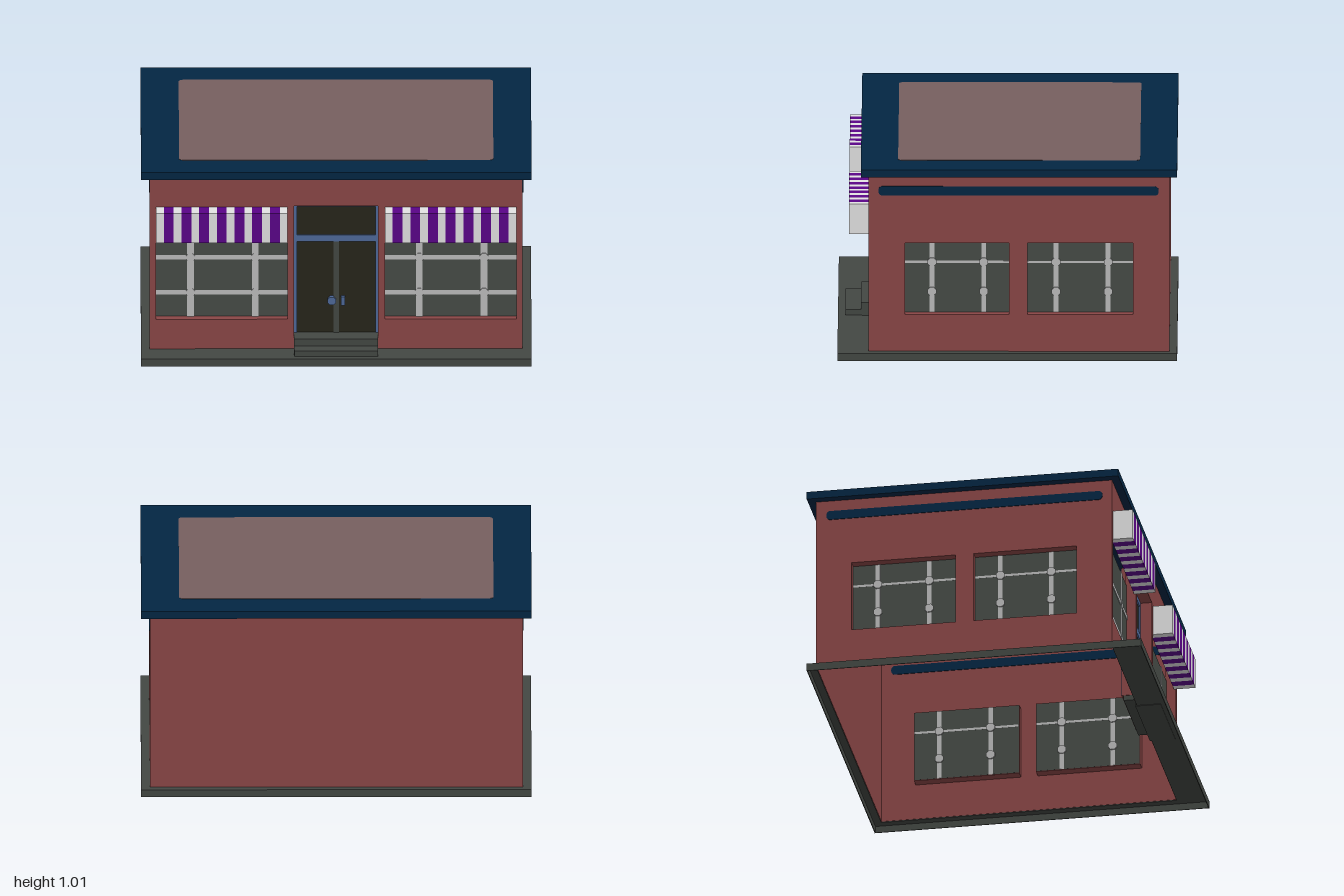
import * as THREE from 'three';

const mat = (name, color) => {
  const m = new THREE.MeshStandardMaterial({ color });
  m.name = name;
  return m;
};

export function createModel() {
  const M = {
    wall: mat('brick red', 0x8a4646),
    roof: mat('navy', 0x032643),
    panel: mat('roof panel brown', 0x775f5f),
    stone: mat('dark stone', 0x434743),
    glass: mat('window glass', 0x464b46),
    bar: mat('window bar grey', 0xbcbcbc),
    white: mat('awning white', 0xe2e2e2),
    purple: mat('awning purple', 0x5a0488),
    frame: mat('door frame blue', 0x4d6898),
    doorGlass: mat('door glass', 0x27251a),
  };
  const model = new THREE.Group();
  model.name = 'shop';

  const add = (parent, name, geo, material) => {
    const mesh = new THREE.Mesh(geo, material);
    mesh.name = name;
    parent.add(mesh);
    return mesh;
  };
  // Box given by its lower and upper limits on each axis
  const box = (parent, name, material, x0, x1, y0, y1, z0, z1) => {
    const mesh = add(parent, name, new THREE.BoxGeometry(x1 - x0, y1 - y0, z1 - z0), material);
    mesh.position.set((x0 + x1) / 2, (y0 + y1) / 2, (z0 + z1) / 2);
    return mesh;
  };
  const rectPath = (path, [x0, x1, y0, y1]) => {
    path.moveTo(x0, y0);
    path.lineTo(x1, y0);
    path.lineTo(x1, y1);
    path.lineTo(x0, y1);
    path.closePath();
    return path;
  };
  // Rectangular slab with rectangular holes, extruded along +z
  const slab = (rect, holes, depth) => {
    const shape = rectPath(new THREE.Shape(), rect);
    holes.forEach((h) => shape.holes.push(rectPath(new THREE.Path(), h)));
    return new THREE.ExtrudeGeometry(shape, { depth, bevelEnabled: false });
  };
  const roundedShape = (x0, x1, y0, y1, r) => {
    const s = new THREE.Shape();
    s.absarc(x1 - r, y0 + r, r, -Math.PI / 2, 0);
    s.absarc(x1 - r, y1 - r, r, 0, Math.PI / 2);
    s.absarc(x0 + r, y1 - r, r, Math.PI / 2, Math.PI);
    s.absarc(x0 + r, y0 + r, r, Math.PI, Math.PI * 1.5);
    s.closePath();
    return s;
  };
  // Thin wall skin, with a recess lining running inward from every opening
  const addWall = (parent, name, rect, openings, face) => {
    add(parent, name, slab(rect, openings.map((o) => o.rect), 0.004), M.wall).position.z = face - 0.004;
    openings.forEach(({ rect: [x0, x1, y0, y1], depth }) => {
      const t = 0.003;
      const lining = slab([x0 - t, x1 + t, y0 - t, y1 + t], [[x0, x1, y0, y1]], depth);
      add(parent, 'recessLining', lining, M.wall).position.z = face - depth - 0.001;
    });
  };
  // Glass pane with crossing bars and a boss at every crossing
  const addWindow = (parent, [x0, x1, y0, y1], z, xs, bars, bosses, barW, barH, proud) => {
    const g = new THREE.Group();
    g.name = 'window';
    const d = 0.004 + proud;
    box(g, 'glass', M.glass, x0, x1, y0, y1, z - 0.004, z + 0.004);
    xs.forEach((x) => {
      box(g, 'uprightBar', M.bar, x - barW / 2, x + barW / 2, y0, y1, z - d, z + d);
      bosses.forEach((y) => {
        const boss = add(g, 'barBoss', new THREE.CylinderGeometry(0.024, 0.024, 0.024, 8), M.bar);
        boss.rotation.set(Math.PI / 2, Math.PI / 8, 0);
        boss.position.set(x, y, z);
      });
    });
    bars.forEach((y) => box(g, 'crossBar', M.bar, x0, x1, y - barH / 2, y + barH / 2, z - d + 0.0005, z + d - 0.0005));
    parent.add(g);
  };

  // Hollow base: a rim around a ledge, open beneath the building
  const base = new THREE.Group();
  base.name = 'base';
  base.rotation.x = -Math.PI / 2;
  const outline = [-1, 1, -0.87, 0.87];
  add(base, 'baseRim', slab(outline, [[-0.996, 0.996, -0.866, 0.866]], 0.04), M.stone);
  add(base, 'baseLedge', slab([-0.997, 0.997, -0.867, 0.867], [[-0.953, 0.953, -0.708, 0.828]], 0.004), M.stone)
    .position.z = 0.0359;
  model.add(base);

  // Front steps
  box(model, 'lowerStep', M.stone, -0.215, 0.215, 0.033, 0.07, 0.7, 0.832);
  box(model, 'upperStep', M.stone, -0.215, 0.215, 0.07, 0.107, 0.64, 0.752);

  // Front and back walls
  addWall(model, 'frontWall', [-0.955, 0.955, 0.04, 0.97], [
    { rect: [-0.923, -0.249, 0.2, 0.81], depth: 0.055 },
    { rect: [0.249, 0.923, 0.2, 0.81], depth: 0.055 },
    { rect: [-0.215, 0.215, 0.1, 0.815], depth: 0.08 },
  ], 0.71);
  box(model, 'backWall', M.wall, -0.955, 0.955, 0.04, 0.97, -0.83, -0.826);

  // Side walls with windows and a rounded trim strip
  for (const s of [1, -1]) {
    const side = new THREE.Group();
    side.name = s > 0 ? 'leftSide' : 'rightSide';
    side.rotation.y = (s * Math.PI) / 2;
    const span = (a, b) => [Math.min(-s * a, -s * b), Math.max(-s * a, -s * b)];
    const panes = [
      { rect: [...span(0.525, -0.01), 0.235, 0.613], uprights: [0.386, 0.121] },
      { rect: [...span(-0.103, -0.645), 0.235, 0.613], uprights: [-0.249, -0.516] },
    ];
    addWall(side, 'sideWall', [...span(0.706, -0.826), 0.04, 0.97],
      panes.map(({ rect }) => ({ rect, depth: 0.055 })), 0.955);
    panes.forEach(({ rect, uprights }) =>
      addWindow(side, rect, 0.902, uprights.map((z) => -s * z), [0.5], [0.345, 0.5], 0.024, 0.012, 0.001));
    const trim = add(side, 'trimStrip', new THREE.ExtrudeGeometry(
      roundedShape(...span(0.66, -0.775), 0.864, 0.912, 0.02),
      { depth: 0.012, bevelEnabled: false, curveSegments: 4 }), M.roof);
    trim.position.z = 0.947;
    model.add(side);
  }

  // Shop windows and striped awnings
  for (const s of [1, -1]) {
    const x0 = s > 0 ? 0.249 : -0.923;
    const width = 0.674;
    const xs = s > 0 ? [0.425, 0.757] : [-0.746, -0.414];
    addWindow(model, [x0, x0 + width, 0.2, 0.7], 0.657, xs, [0.33, 0.52], [0.33, 0.52], 0.034, 0.024, 0.004);
    const awning = new THREE.Group();
    awning.name = 'awning';
    const whiteW = 0.04, purpleW = (width - 8 * whiteW) / 7;
    let x = x0;
    for (let i = 0; i < 15; i++) {
      const w = i % 2 ? purpleW : whiteW;
      box(awning, 'awningStripe', i % 2 ? M.purple : M.white, x, x + w, 0.65, 0.81, 0.7, 0.812);
      x += w;
    }
    model.add(awning);
  }

  // Recessed double door with transom light
  const door = new THREE.Group();
  door.name = 'entrance';
  box(door, 'doorGlass', M.doorGlass, -0.214, 0.214, 0.1, 0.814, 0.635, 0.643);
  for (const s of [1, -1]) {
    const jamb = box(door, 'doorJamb', M.frame, -0.007, 0.007, 0.1, 0.815, 0.627, 0.652);
    jamb.position.x = s * 0.208;
  }
  box(door, 'doorHead', M.frame, -0.21, 0.21, 0.79, 0.815, 0.628, 0.651);
  box(door, 'transomBar', M.frame, -0.21, 0.21, 0.602, 0.636, 0.628, 0.651);
  box(door, 'centrePost', M.stone, -0.015, 0.015, 0.1, 0.602, 0.629, 0.65);
  const knob = add(door, 'doorKnob', new THREE.CylinderGeometry(0.023, 0.023, 0.05, 8), M.frame);
  knob.rotation.set(Math.PI / 2, Math.PI / 8, 0);
  knob.position.set(-0.023, 0.283, 0.643);
  box(door, 'doorHandle', M.frame, 0.024, 0.046, 0.26, 0.306, 0.62, 0.668);
  model.add(door);

  // Flat roof with an inset panel
  box(model, 'roof', M.roof, -1, 1, 0.97, 1.01, -0.87, 0.75);
  const panel = add(model, 'roofPanel', new THREE.ExtrudeGeometry(
    roundedShape(-0.805, 0.805, -0.56, 0.68, 0.025),
    { depth: 0.046, bevelEnabled: false, curveSegments: 4 }), M.panel);
  panel.rotation.x = -Math.PI / 2;
  panel.position.y = 0.9655;

  return model;
}
